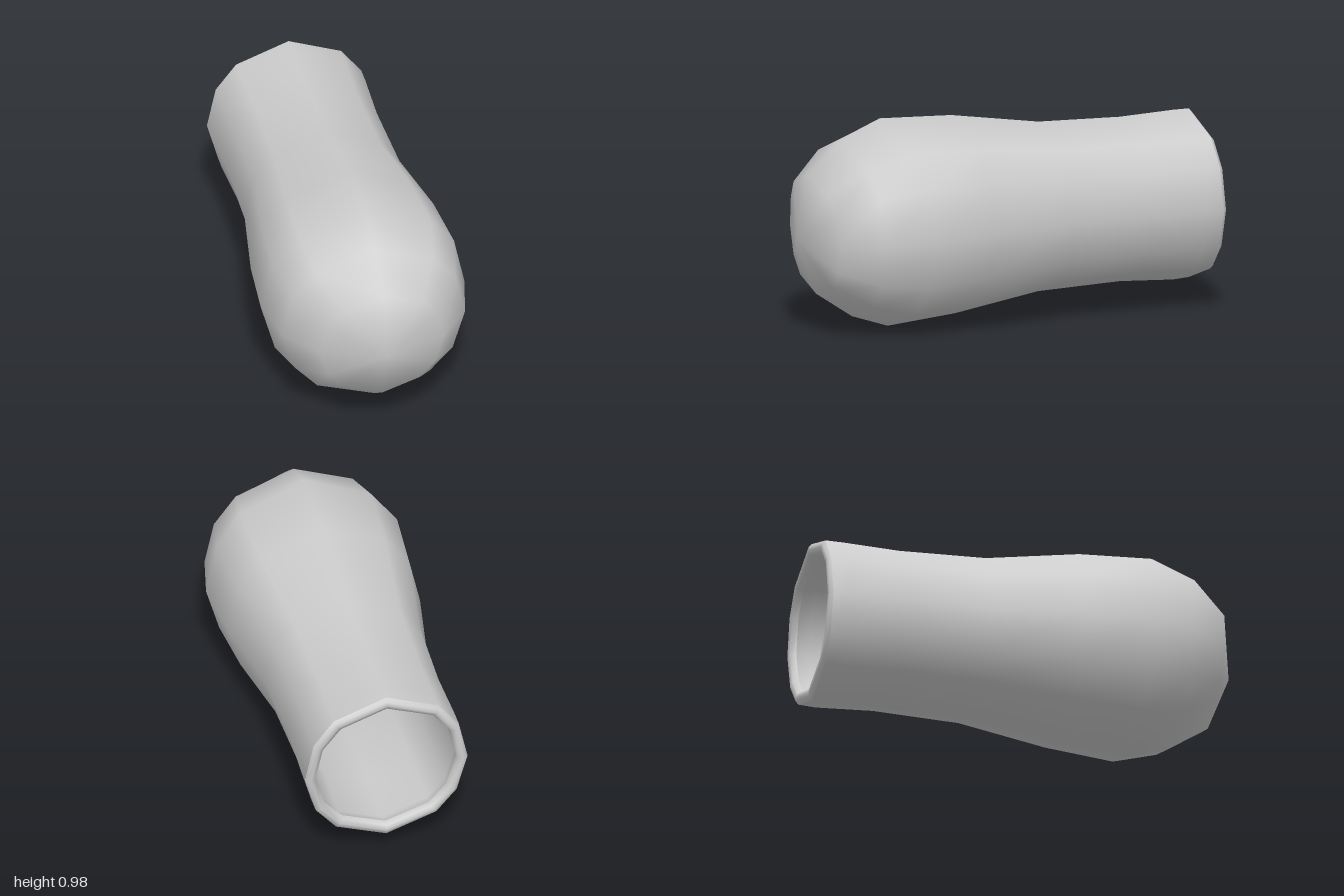
import * as THREE from 'three';
import { mergeVertices } from 'three/addons/utils/BufferGeometryUtils.js';

// Twelve uneven directions around the axis, counter-clockwise seen from the front
const right = [-90, -52, -30, -2, 27, 50];
const ANGLES = [...right, 90, ...right.slice(1).reverse().map((a) => 180 - a)]
  .map(THREE.MathUtils.degToRad);

// Rings from rear to front: z at side, top and bottom, then top y, bottom y, half width
const OUTER = [
  [-0.98, -0.98, -0.98, 0.89, 0.1, 0.385],
  [-0.9, -0.9, -0.9, 0.89, 0.095, 0.385],
  [-0.63, -0.63, -0.63, 0.88, 0.11, 0.375],
  [-0.22, -0.22, -0.22, 0.892, 0.098, 0.386],
  [0.2, 0.22, 0.2, 0.96, 0.03, 0.455],
  [0.51, 0.58, 0.54, 0.975, 0, 0.48],
  [0.74, 0.78, 0.72, 0.89, 0.06, 0.43],
  [0.9, 0.95, 0.9, 0.74, 0.18, 0.29],
  [1, 1, 1, 0.44, 0.44, 0],
];

// Rounded lip at the open rear end, from the inside out
const LIP = [[-0.965, 0.333], [-0.992, 0.34], [-1, 0.36], [-0.995, 0.378]]
  .map(([z, r]) => [z, z, z, 0.495 + r, 0.495 - r, r]);

// Inner wall: the outer rings shrunk by the wall thickness, front to rear
const WALL = 0.04;
const INNER = OUTER.slice(1).reverse().map(([zs, zt, zb, top, bottom, rx]) => {
  const inset = rx > 0 ? WALL : 0;
  const back = zs > 0.3 ? WALL * Math.min(1, (zs - 0.3) / 0.6) : 0;
  return [zs - back, zt - back, zb - back, top - inset, bottom + inset, rx - inset];
});

function ringPoint([zs, zt, zb, top, bottom, rx], angle) {
  const s = Math.sin(angle);
  const z = zs + ((s > 0 ? zt : zb) - zs) * s * s;
  return [rx * Math.cos(angle), (top + bottom) / 2 + ((top - bottom) / 2) * s, z];
}

// Skin a sequence of rings with one smooth surface
function loft(rings) {
  const n = ANGLES.length;
  const positions = rings.flatMap((ring) => ANGLES.flatMap((a) => ringPoint(ring, a)));
  const index = [];
  for (let i = 0; i < rings.length - 1; i++) {
    for (let j = 0; j < n; j++) {
      const a = i * n + j;
      const b = i * n + ((j + 1) % n);
      if (rings[i][5] > 0) index.push(a, b, a + n);
      if (rings[i + 1][5] > 0) index.push(b, b + n, a + n);
    }
  }
  const geometry = new THREE.BufferGeometry();
  geometry.setAttribute('position', new THREE.Float32BufferAttribute(positions, 3));
  geometry.setIndex(index);
  const merged = mergeVertices(geometry);
  merged.computeVertexNormals();
  return merged;
}

export function createModel() {
  const group = new THREE.Group();
  group.name = 'roundedSleeve';
  const material = new THREE.MeshStandardMaterial({ color: 0xcccccc });
  const parts = {
    innerWall: [...INNER, LIP[0]],
    rearLip: [...LIP, OUTER[0]],
    outerShell: OUTER,
  };
  for (const [name, rings] of Object.entries(parts)) {
    const mesh = new THREE.Mesh(loft(rings), material);
    mesh.name = name;
    group.add(mesh);
  }
  return group;
}
